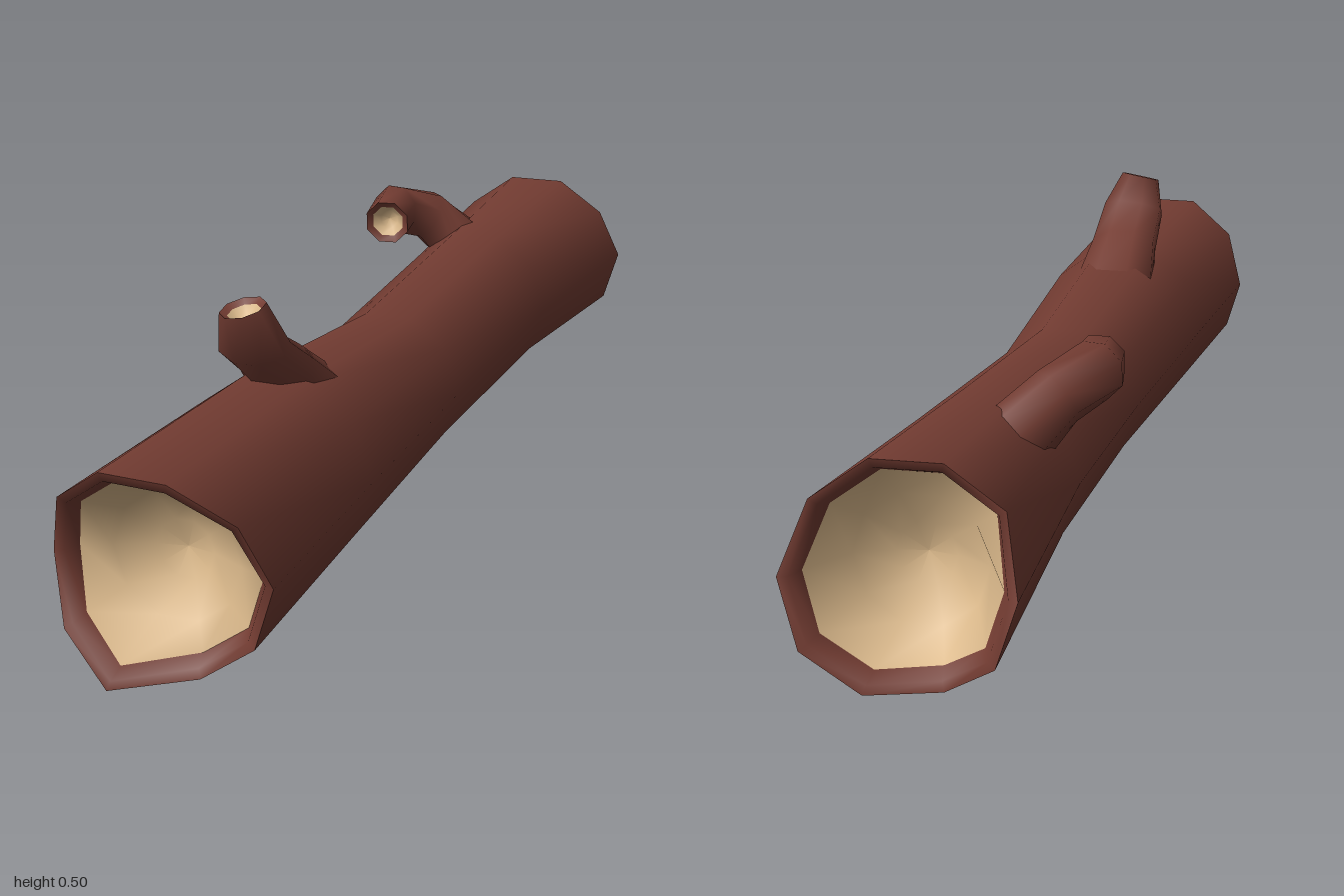
import * as THREE from 'three';

const bark = new THREE.MeshStandardMaterial({ color: 0x733c32 });
const wood = new THREE.MeshStandardMaterial({ color: 0xdcba8c });

// Skins a list of closed rings (equal point counts) with smooth normals
function loft(name, rings, material) {
  const n = rings[0].length;
  const index = [];
  for (let r = 0; r < rings.length - 1; r++) {
    for (let i = 0; i < n; i++) {
      const j = (i + 1) % n;
      const a = r * n + i, b = r * n + j, c = a + n, d = b + n;
      index.push(a, b, d, a, d, c);
    }
  }
  const geometry = new THREE.BufferGeometry().setFromPoints(rings.flat());
  geometry.setIndex(index);
  geometry.computeVertexNormals();
  const mesh = new THREE.Mesh(geometry, material);
  mesh.name = name;
  return mesh;
}

// Ten-sided trunk ring; zs is one depth or one depth per corner
const SIDES = 10;
function trunkRing(radius, y, zs, dz = 0) {
  return Array.from({ length: SIDES }, (_, i) => {
    const a = (i / SIDES) * Math.PI * 2;
    const z = Array.isArray(zs) ? zs[i] : zs;
    return new THREE.Vector3(0.02 + radius * Math.cos(a), y + radius * Math.sin(a), z + dz);
  });
}

function makeTrunk() {
  const trunk = new THREE.Group();
  trunk.name = 'trunk';
  const R = 0.186, Y = 0.178;
  // Ragged broken ends
  const front = [0.92, 0.96, 1.0, 0.995, 0.96, 0.92, 0.96, 1.0, 0.915, 0.915];
  const back = [-0.985, -0.94, -0.93, -0.925, -0.92, -0.99, -0.99, -0.945, -0.985, -1.0];
  trunk.add(loft('trunkBark', [
    trunkRing(R, Y, back),
    trunkRing(0.155, 0.183, -0.5),
    trunkRing(0.144, 0.164, 0),
    trunkRing(0.172, 0.181, 0.5),
    trunkRing(R, Y, front),
  ], bark));
  // Bevelled bark rim and hollowed wood at each end
  for (const [name, zs, s] of [['front', front, 1], ['back', back, -1]]) {
    const order = (rings) => (s > 0 ? rings : rings.reverse());
    const inner = trunkRing(0.157, Y + 0.002, zs, -0.03 * s);
    trunk.add(loft(name + 'Rim', order([
      trunkRing(R, Y, zs), trunkRing(0.17, Y, zs, -0.005 * s), inner,
    ]), bark));
    trunk.add(loft(name + 'Wood', order([
      inner,
      trunkRing(0.11, Y, 0.87 * s),
      trunkRing(0.05, Y, 0.84 * s),
      trunkRing(0, Y, 0.83 * s),
    ]), wood));
  }
  return trunk;
}

// Broken branch stub: stations are [x, y, z, radius along u, radius along v]
function makeBranch(name, stations, reference) {
  const branch = new THREE.Group();
  branch.name = name;
  const points = stations.map((s) => new THREE.Vector3(s[0], s[1], s[2]));
  const tangent = (k) => points[Math.min(k + 1, points.length - 1)].clone()
    .sub(points[Math.max(k - 1, 0)]).normalize();
  const ring = (k, scale = 1, sink = 0) => {
    const t = tangent(k);
    const u = reference.clone().addScaledVector(t, -reference.dot(t)).normalize();
    const v = t.clone().cross(u);
    return Array.from({ length: 8 }, (_, i) => {
      const a = ((i + 0.5) / 8) * Math.PI * 2;
      return points[k].clone()
        .addScaledVector(u, Math.cos(a) * stations[k][3] * scale)
        .addScaledVector(v, Math.sin(a) * stations[k][4] * scale)
        .addScaledVector(t, -sink);
    });
  };
  const tip = points.length - 1;
  branch.add(loft(name + 'Bark', points.map((_, k) => ring(k)), bark));
  branch.add(loft(name + 'Rim', [ring(tip), ring(tip, 0.72, 0.008)], bark));
  branch.add(loft(name + 'Wood', [
    ring(tip, 0.72, 0.008), ring(tip, 0.4, 0.022), ring(tip, 0, 0.026),
  ], wood));
  return branch;
}

export function createModel() {
  const log = new THREE.Group();
  log.name = 'hollowLog';
  log.add(makeTrunk());
  // Upright stub near the front
  log.add(makeBranch('uprightBranch', [
    [0.015, 0.29, 0.40, 0.085, 0.06],
    [0.015, 0.36, 0.485, 0.07, 0.046],
    [0.015, 0.42, 0.573, 0.066, 0.038],
    [0.003, 0.49, 0.588, 0.04, 0.039],
  ], new THREE.Vector3(1, 0, 0)));
  // Bent stub on the right side, turning to the front
  log.add(makeBranch('bentBranch', [
    [-0.05, 0.285, -0.59, 0.06, 0.07],
    [-0.11, 0.35, -0.555, 0.053, 0.05],
    [-0.155, 0.375, -0.48, 0.053, 0.053],
    [-0.142, 0.367, -0.4, 0.047, 0.047],
  ], new THREE.Vector3(0, 1, 0)));
  return log;
}
